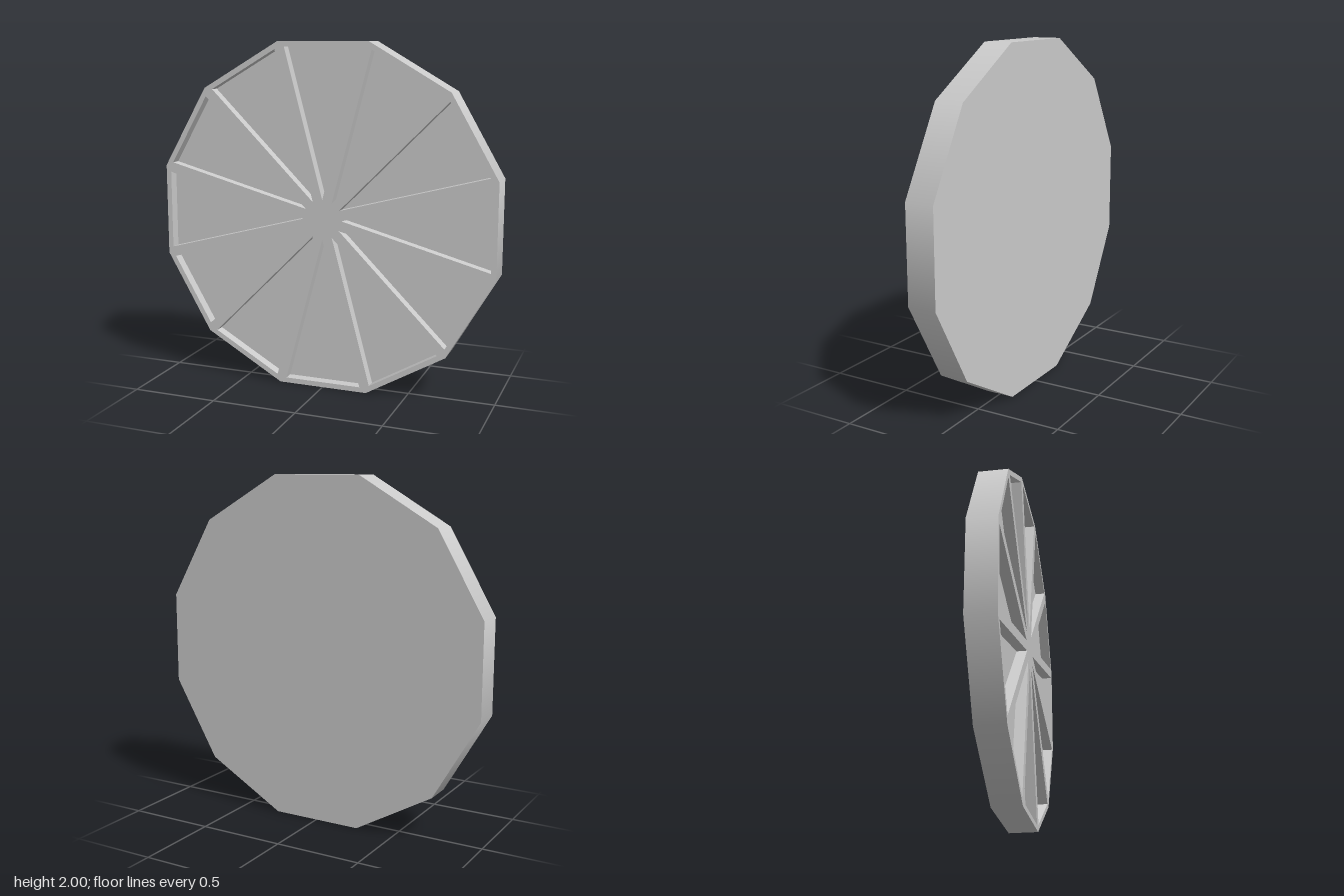
import * as THREE from 'three';

const SIDES = 12;
const STEP = (Math.PI * 2) / SIDES;
const RADIUS = 1 / Math.cos(STEP / 2); // corner radius for an apothem of 1
const HALF = 0.083; // half thickness
const DEPTH = 0.06; // pocket depth
const APEX = 0.115; // distance of pocket tip from the centre
const BASE = 0.97; // distance of pocket outer edge from the centre

// Corners of one wedge pocket, counter-clockwise
function wedge(i) {
  const w = (BASE - APEX) * Math.tan(STEP / 2);
  const centre = new THREE.Vector2();
  return [[APEX, 0], [BASE, -w], [BASE, w]].map(([x, y]) =>
    new THREE.Vector2(x, y).rotateAround(centre, i * STEP));
}

// Floor and three flat inward-facing walls of a pocket
function pocketGeometry(points) {
  const top = points.map((p) => [p.x, p.y, HALF]);
  const low = points.map((p) => [p.x, p.y, HALF - DEPTH]);
  const pos = [...low.flat()];
  for (let i = 0; i < 3; i++) {
    const j = (i + 1) % 3;
    pos.push(...top[i], ...top[j], ...low[j], ...top[i], ...low[j], ...low[i]);
  }
  const g = new THREE.BufferGeometry();
  g.setAttribute('position', new THREE.Float32BufferAttribute(pos, 3));
  g.computeVertexNormals();
  return g;
}

export function createModel() {
  const group = new THREE.Group();
  group.name = 'spokedDisc';
  const material = new THREE.MeshStandardMaterial({ color: 0xcccccc });
  const add = (name, geometry) => {
    const mesh = new THREE.Mesh(geometry, material);
    mesh.name = name;
    mesh.position.y = 1;
    group.add(mesh);
  };

  // Outer wall, smooth around its twelve sides
  const wall = new THREE.CylinderGeometry(RADIUS, RADIUS, HALF * 2, SIDES, 1, true, STEP / 2);
  add('outerWall', wall.rotateX(Math.PI / 2));

  // Plain back
  const back = new THREE.CircleGeometry(RADIUS, SIDES, STEP / 2);
  add('backFace', back.rotateY(Math.PI).translate(0, 0, -HALF));

  // Front rim, spokes and hub as one face with wedge openings
  const outline = Array.from({ length: SIDES }, (_, i) => {
    const a = (i + 0.5) * STEP;
    return new THREE.Vector2(RADIUS * Math.cos(a), RADIUS * Math.sin(a));
  });
  const face = new THREE.Shape(outline);
  for (let i = 0; i < SIDES; i++) {
    const points = wedge(i);
    face.holes.push(new THREE.Path(points));
    add('pocket', pocketGeometry(points));
  }
  add('frontSpokes', new THREE.ShapeGeometry(face).translate(0, 0, HALF));

  return group;
}
